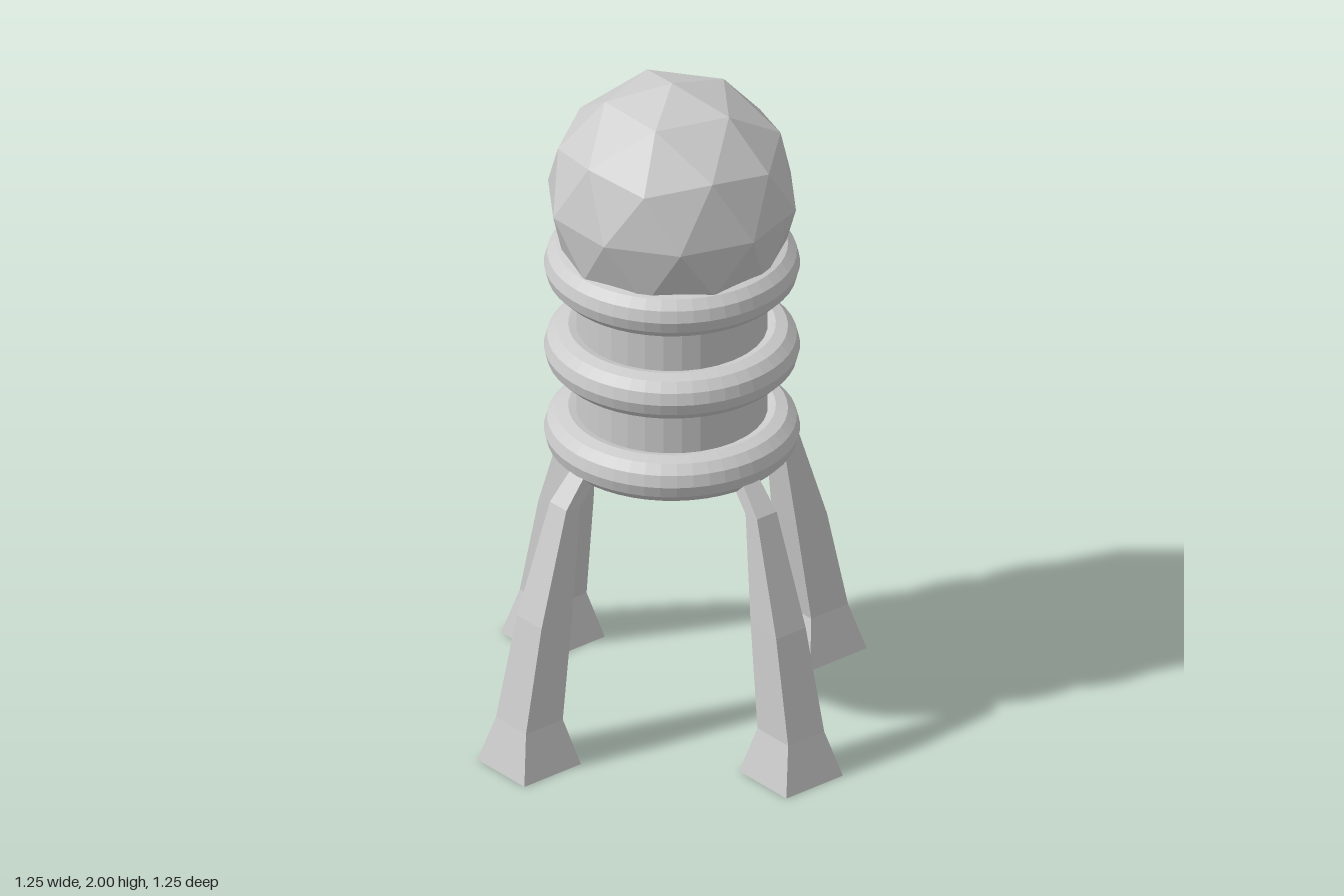
import * as THREE from 'three';

const grey = new THREE.MeshStandardMaterial({ color: 0xcccccc, flatShading: true });
const greyOpen = new THREE.MeshStandardMaterial({ color: 0xcccccc, flatShading: true, side: THREE.DoubleSide });

// Leg cross-sections from foot to hip: inner and outer [radius, height], half width
const LEG = [
  { inner: [0.42, 0], outer: [0.627, 0], half: 0.1035 },
  { inner: [0.455, 0.14], outer: [0.59, 0.14], half: 0.066 },
  { inner: [0.41, 0.46], outer: [0.523, 0.45], half: 0.054 },
  { inner: [0.367, 0.78], outer: [0.417, 0.785], half: 0.036 },
  { inner: [0.29, 0.86], outer: [0.33, 0.885], half: 0.028 },
];

// A segmented box whose rings are moved onto the cross-sections
function legGeometry() {
  const geometry = new THREE.BoxGeometry(1, 1, 1, 1, LEG.length - 1, 1);
  const p = geometry.attributes.position;
  for (let i = 0; i < p.count; i++) {
    const ring = LEG[Math.round((p.getY(i) + 0.5) * (LEG.length - 1))];
    const [x, y] = p.getX(i) > 0 ? ring.outer : ring.inner;
    p.setXYZ(i, x, y, Math.sign(p.getZ(i)) * ring.half);
  }
  geometry.computeVertexNormals();
  return geometry;
}

export function createModel() {
  const model = new THREE.Group();
  const add = (name, geometry, material = grey) => {
    const mesh = new THREE.Mesh(geometry, material);
    mesh.name = name;
    model.add(mesh);
    return mesh;
  };

  // Faceted dome, turned so that one corner points straight up
  const dome = new THREE.IcosahedronGeometry(0.36, 1);
  dome.rotateZ(-Math.atan(2 / (1 + Math.sqrt(5))));
  add('dome', dome).position.y = 1.64;

  // Hollow body tube
  add('body', new THREE.CylinderGeometry(0.27, 0.27, 0.59, 32, 1, true), greyOpen).position.y = 1.13;

  // Rings around the body
  const ring = new THREE.TorusGeometry(0.2925, 0.0685, 12, 48).rotateX(Math.PI / 2);
  ['lowerRing', 'middleRing', 'upperRing'].forEach((name, i) => {
    add(name, ring).position.y = 0.895 + i * 0.265;
  });

  // Four splayed legs
  const leg = legGeometry();
  ['leftLeg', 'backLeg', 'rightLeg', 'frontLeg'].forEach((name, i) => {
    add(name, leg).rotation.y = (i * Math.PI) / 2;
  });

  return model;
}
